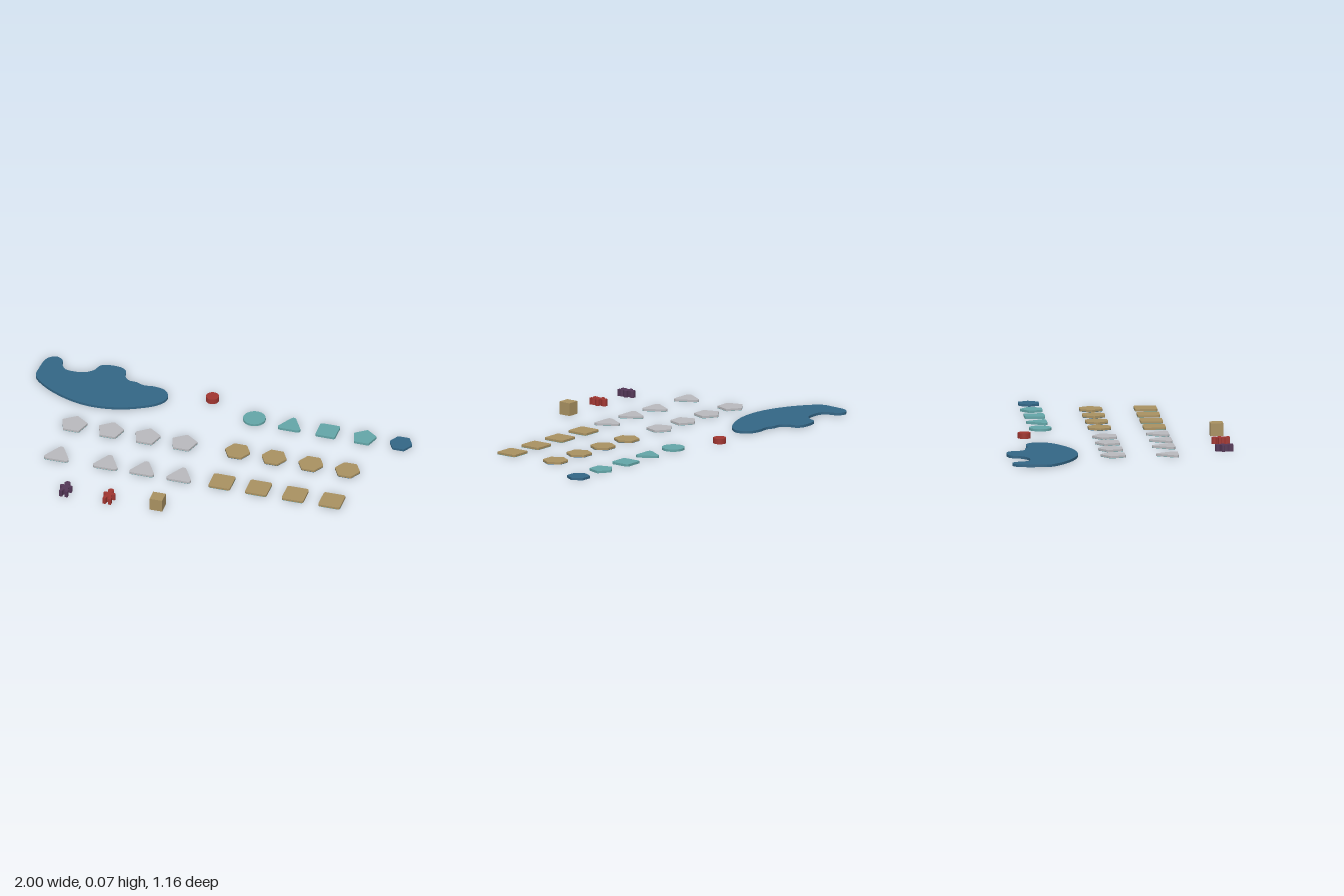
import * as THREE from 'three';

const mat = (name, hex) => {
  const m = new THREE.MeshStandardMaterial({ color: hex });
  m.name = name;
  return m;
};

// Regular polygon with rounded corners, apex (or flat/pointed side) set by start angle
function roundedPolygon(n, R, r, start) {
  const pts = [];
  const steps = 6;
  for (let k = 0; k < n; k++) {
    const a = start + (k * Math.PI * 2) / n;
    for (let i = 0; i <= steps; i++) {
      const b = a + (i / steps - 0.5) * ((Math.PI * 2) / n);
      pts.push(new THREE.Vector2(R * Math.cos(a) + r * Math.cos(b), R * Math.sin(a) + r * Math.sin(b)));
    }
  }
  return new THREE.Shape(pts);
}

// Flat slab lying on the table: shape +y points to the back
function slab(shape, height, bottom = 0) {
  return new THREE.ExtrudeGeometry(shape, { depth: height, bevelEnabled: false, curveSegments: 24 })
    .rotateX(-Math.PI / 2)
    .translate(0, bottom, 0);
}

// Game figure outline: round head, stretched arms, two legs
function figureShape() {
  const half = [
    [0.008, 0.014], [0.026, 0.014], [0.031, 0.01], [0.031, 0.001], [0.027, -0.003], [0.016, -0.003],
    [0.016, -0.016], [0.022, -0.026], [0.022, -0.046], [0.006, -0.046], [0.004, -0.025],
  ];
  const pts = half.map(([x, y]) => new THREE.Vector2(x, y));
  [...half].reverse().forEach(([x, y]) => pts.push(new THREE.Vector2(-x, y)));
  for (let i = 0; i <= 16; i++) {
    const a = (-118 - (i / 16) * 304) * (Math.PI / 180);
    pts.push(new THREE.Vector2(0.0155 * Math.cos(a), 0.031 + 0.0155 * Math.sin(a)));
  }
  return new THREE.Shape(pts);
}

// Lake outline as x, z pairs
function lakeShape() {
  const p = [
    [-1, -0.45], [-0.985, -0.545], [-0.945, -0.573], [-0.907, -0.555], [-0.893, -0.51], [-0.87, -0.48],
    [-0.82, -0.473], [-0.765, -0.483], [-0.727, -0.515], [-0.708, -0.56], [-0.675, -0.575], [-0.605, -0.575],
    [-0.573, -0.555], [-0.56, -0.505], [-0.535, -0.478], [-0.49, -0.472], [-0.45, -0.457], [-0.395, -0.462],
    [-0.34, -0.45], [-0.309, -0.415], [-0.306, -0.37], [-0.345, -0.318], [-0.4, -0.283], [-0.475, -0.248],
    [-0.555, -0.226], [-0.65, -0.218], [-0.745, -0.231], [-0.85, -0.27], [-0.94, -0.325], [-0.997, -0.385],
  ];
  const curve = new THREE.CatmullRomCurve3(p.map(([x, z]) => new THREE.Vector3(x, -z, 0)), true);
  return new THREE.Shape(curve.getPoints(120).slice(0, -1).map((v) => new THREE.Vector2(v.x, v.y)));
}

export function createModel() {
  const model = new THREE.Group();
  model.name = 'boardGamePieces';

  const blue = mat('lakeBlue', 0x336686);
  const teal = mat('teal', 0x63a6a8);
  const sand = mat('sand', 0xa99161);
  const grey = mat('stoneGrey', 0xb9b9bd);
  const red = mat('red', 0xa03530);
  const purple = mat('purple', 0x533656);

  const add = (name, geometry, material, x = 0, z = 0) => {
    const mesh = new THREE.Mesh(geometry, material);
    mesh.name = name;
    mesh.position.set(x, 0, z);
    model.add(mesh);
    return mesh;
  };

  // Tile shapes at a given scale
  const up = Math.PI / 2;
  const shapes = {
    triangle: (s) => roundedPolygon(3, 0.056 * s, 0.0155 * s, up),
    square: (s) => roundedPolygon(4, 0.0636 * s, 0.012 * s, Math.PI / 4),
    pentagon: (s) => roundedPolygon(5, 0.06 * s, 0.008 * s, up),
    hexagon: (s) => roundedPolygon(6, 0.054 * s, 0.0105 * s, 0),
    circle: (s) => roundedPolygon(8, 0, 0.063 * s, 0),
  };

  // Tile: coloured slab on a thin underside
  const H = 0.012;
  const UNDER = 0.0015;
  const tile = (kind, scale, top, under, x, z) => {
    const shape = shapes[kind](scale);
    add(kind + 'Tile', slab(shape, H - UNDER, UNDER), top, x, z);
    add(kind + 'TileUnderside', slab(shape, UNDER), under, x, z);
  };

  // Large tiles in rows of four
  const rightColumns = [0.168, 0.361, 0.555, 0.748];
  for (const x of rightColumns) {
    tile('hexagon', 1, sand, blue, x, -0.045);
    tile('square', 1, sand, teal, x, 0.233);
  }
  for (const x of [-0.693, -0.5, -0.307, -0.113]) tile('pentagon', 1, grey, teal, x, -0.037);
  for (const x of [-0.693, -0.436, -0.243, -0.048]) tile('triangle', 1, grey, teal, x, 0.246);

  // Small sample tiles at the back
  const small = 0.91;
  tile('circle', small, teal, teal, 0.168, -0.345);
  tile('triangle', small, teal, teal, 0.361, -0.337);
  tile('square', small, teal, teal, 0.555, -0.345);
  tile('pentagon', small, teal, teal, 0.748, -0.342);
  tile('hexagon', small, blue, blue, 0.941, -0.345);

  // Lake board
  add('lake', slab(lakeShape(), 0.013), blue);

  // Playing pieces
  const figure = slab(figureShape(), 0.034);
  add('purpleFigure', figure, purple, -0.567, 0.531);
  add('redFigure', figure, red, -0.338, 0.531);
  add('cube', new THREE.BoxGeometry(0.066, 0.066, 0.066).translate(0, 0.035, 0), sand, -0.083, 0.529);
  add('disc', new THREE.CylinderGeometry(0.033, 0.033, 0.028, 40).translate(0, 0.014, 0), red, -0.083, -0.446);

  return model;
}
